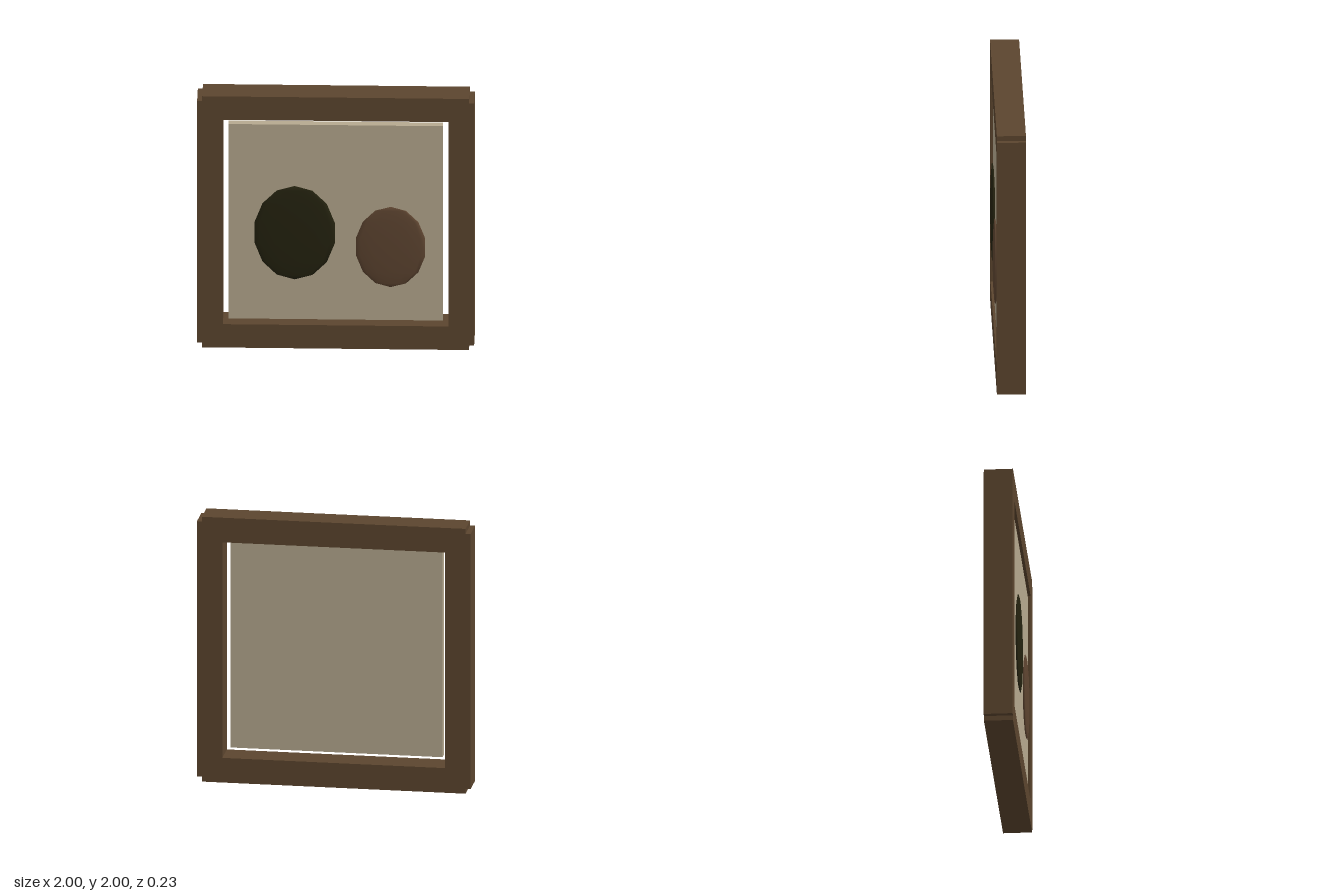
import * as THREE from 'three';

const mat = (name, color) => {
  const m = new THREE.MeshStandardMaterial({ color });
  m.name = name;
  return m;
};

export function createModel() {
  const group = new THREE.Group();
  const wood = mat('frame wood', 0x5b452e);
  const canvas = mat('canvas beige', 0xb6a98f);
  const dark = mat('dark olive', 0x24220f);
  const brown = mat('warm brown', 0x5d4430);

  const add = (name, geometry, material, x, y, z) => {
    const mesh = new THREE.Mesh(geometry, material);
    mesh.name = name;
    mesh.position.set(x, y, z);
    group.add(mesh);
    return mesh;
  };

  // Frame: two rails and two stiles, leaving a small notch at each corner
  const width = 0.186, length = 1.926, depth = 0.21, frameZ = -0.008;
  const offset = 1 - width / 2;
  for (const s of [-1, 1]) {
    add(s > 0 ? 'topRail' : 'bottomRail',
      new THREE.BoxGeometry(length, width, depth), wood, 0, 1 + s * offset, frameZ);
    add(s > 0 ? 'leftStile' : 'rightStile',
      new THREE.BoxGeometry(width, length, depth), wood, s * offset, 1, frameZ);
  }

  // Panel floating inside the frame with a narrow gap all round
  add('canvasPanel', new THREE.BoxGeometry(1.548, 1.548, 0.062), canvas, 0, 1, 0.051);

  // Flattened ovals on the panel
  const oval = (name, material, x, y, rx, ry) => {
    const geometry = new THREE.SphereGeometry(1, 12, 7).scale(rx, ry, 0.018);
    add(name, geometry, material, x, y, 0.095);
  };
  oval('largeOval', dark, -0.296, 0.92, 0.297, 0.372);
  oval('smallOval', brown, 0.397, 0.814, 0.256, 0.32);

  return group;
}
